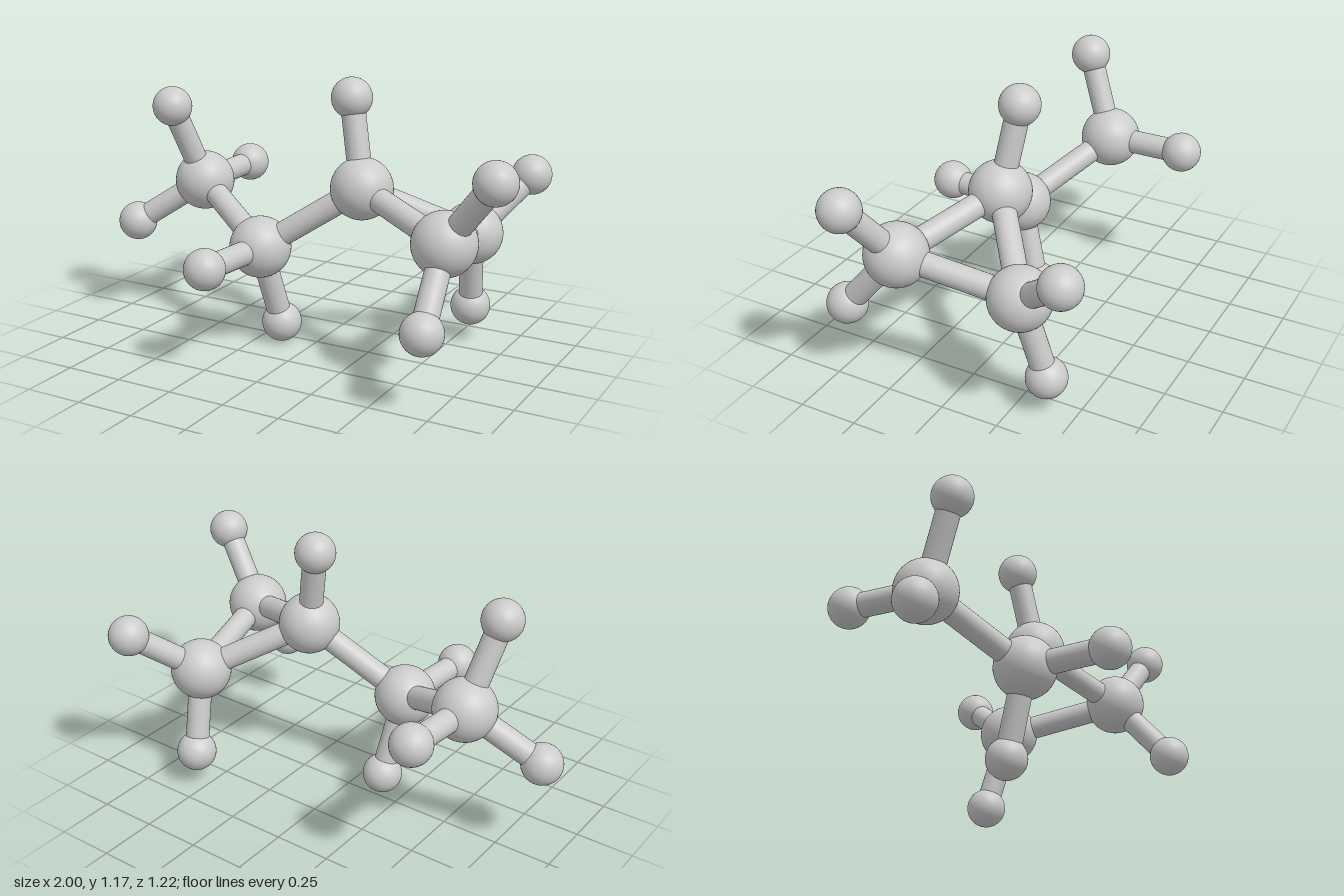
import * as THREE from 'three';

const LARGE_RADIUS = 0.131;
const SMALL_RADIUS = 0.086;
const BOND_RADIUS = 0.051;

// Large atoms: a two-atom tail joined to a three-atom ring
const largeAtoms = {
  tailEnd: [-0.62, 0.635, -0.08],
  tailInner: [-0.19, 0.447, 0.15],
  ringInner: [0.222, 0.724, 0.02],
  ringBack: [0.594, 0.511, -0.273],
  ringFront: [0.682, 0.61, 0.225],
};

// Bonds between large atoms
const chainBonds = [
  ['tailEnd', 'tailInner'],
  ['tailInner', 'ringInner'],
  ['ringInner', 'ringBack'],
  ['ringInner', 'ringFront'],
  ['ringBack', 'ringFront'],
];

// Small atoms grouped by the large atom that carries them
const smallAtoms = {
  tailEnd: [[-0.687, 0.988, 0.06], [-0.914, 0.432, 0.037], [-0.602, 0.646, -0.434]],
  tailInner: [[-0.222, 0.448, 0.524], [-0.147, 0.087, 0.049]],
  ringInner: [[0.147, 1.086, -0.03]],
  ringBack: [[0.559, 0.153, -0.371], [0.757, 0.728, -0.527]],
  ringFront: [[0.911, 0.895, 0.305], [0.703, 0.328, 0.463]],
};

export function createModel() {
  const model = new THREE.Group();
  model.name = 'molecule';
  const material = new THREE.MeshStandardMaterial({ color: 0xcccccc });
  const largeSphere = new THREE.SphereGeometry(LARGE_RADIUS, 48, 32);
  const smallSphere = new THREE.SphereGeometry(SMALL_RADIUS, 40, 24);
  const rod = new THREE.CylinderGeometry(BOND_RADIUS, BOND_RADIUS, 1, 32);
  const up = new THREE.Vector3(0, 1, 0);

  function addAtom(name, geometry, position) {
    const atom = new THREE.Mesh(geometry, material);
    atom.name = name;
    atom.position.set(...position);
    model.add(atom);
  }

  // A rod running from centre to centre
  function addBond(name, from, to) {
    const a = new THREE.Vector3(...from);
    const b = new THREE.Vector3(...to);
    const direction = b.clone().sub(a);
    const bond = new THREE.Mesh(rod, material);
    bond.name = name;
    bond.scale.y = direction.length();
    bond.position.copy(a).add(b).multiplyScalar(0.5);
    bond.quaternion.setFromUnitVectors(up, direction.normalize());
    model.add(bond);
  }

  for (const [name, position] of Object.entries(largeAtoms)) {
    addAtom(`${name}Atom`, largeSphere, position);
    smallAtoms[name].forEach((end, i) => {
      addAtom(`${name}SmallAtom${i + 1}`, smallSphere, end);
      addBond(`${name}SmallBond${i + 1}`, position, end);
    });
  }

  for (const [from, to] of chainBonds) {
    addBond(`${from}To${to[0].toUpperCase()}${to.slice(1)}Bond`, largeAtoms[from], largeAtoms[to]);
  }

  return model;
}
